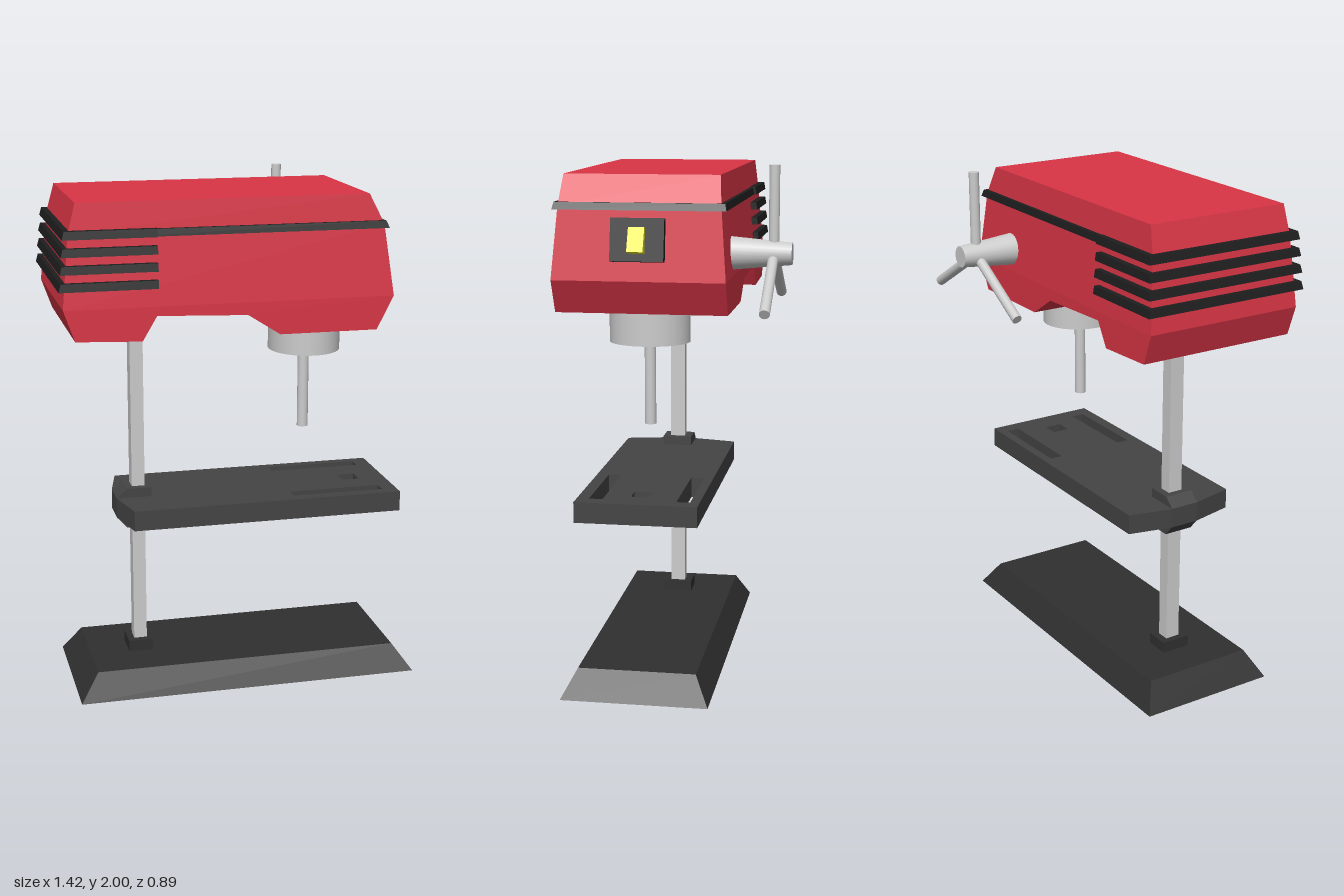
import * as THREE from 'three';

const ZC = 0.1; // depth of the machine's centre plane
const paint = (color) => new THREE.MeshStandardMaterial({ color });
const flat = (color) => new THREE.MeshStandardMaterial({ color, flatShading: true });

export function createModel() {
  const model = new THREE.Group();
  const steel = paint(0xcccccc), steelFlat = flat(0xcccccc);
  const red = flat(0xd93546), black = flat(0x1e1e1e), iron = flat(0x303030);
  const tableIron = flat(0x444444), yellow = flat(0xf0ec10);

  const add = (name, geometry, material, parent = model) => {
    const mesh = new THREE.Mesh(geometry, material);
    mesh.name = name;
    parent.add(mesh);
    return mesh;
  };

  // Box tapering between two rectangles, each { y, x0, x1, hz }
  const taper = (low, high) => {
    const g = new THREE.BoxGeometry(1, 1, 1).toNonIndexed();
    const p = g.attributes.position;
    for (let i = 0; i < p.count; i++) {
      const r = p.getY(i) < 0 ? low : high;
      p.setXYZ(i, p.getX(i) < 0 ? r.x0 : r.x1, r.y, ZC + Math.sign(p.getZ(i)) * r.hz);
    }
    g.computeVertexNormals();
    return g;
  };
  const rect = (y, x0, x1, hz) => ({ y, x0, x1, hz });

  const shapeOf = (pts) => new THREE.Shape(pts.map(([x, y]) => new THREE.Vector2(x, y)));

  // Side profile in x, y extruded evenly about the centre plane
  const slab = (pts, hz) =>
    new THREE.ExtrudeGeometry(shapeOf(pts), { depth: 2 * hz, bevelEnabled: false })
      .translate(0, 0, ZC - hz);

  // Base and column
  add('base', taper(rect(0, -0.66, 0.71, 0.284), rect(0.105, -0.585, 0.635, 0.228)), iron);
  add('baseCollar', taper(rect(0.1, -0.43, -0.33, 0.06), rect(0.15, -0.43, -0.33, 0.06)), iron);
  add('column', taper(rect(0.1, -0.404, -0.352, 0.03), rect(1.58, -0.404, -0.352, 0.03)), steelFlat);

  // Work table: plan drawn in x, -z, then laid flat
  const plan = shapeOf([
    [0.65, -0.333], [0.65, 0.135], [-0.43, 0.135], [-0.47, -0.04], [-0.47, -0.16], [-0.43, -0.333],
  ]);
  const cutouts = [
    [0.22, 0.59, -0.073, 0.026], // slots
    [0.22, 0.59, 0.26, 0.026],
    [0.47, 0.54, 0.1, 0.035], // centre hole
  ];
  for (const [x0, x1, z, h] of cutouts) {
    plan.holes.push(shapeOf([[x0, -z - h], [x0, -z + h], [x1, -z + h], [x1, -z - h]]));
  }
  const table = new THREE.ExtrudeGeometry(plan, { depth: 0.08, bevelEnabled: false });
  table.rotateX(-Math.PI / 2).translate(0, 0.685, 0);
  add('workTable', table, tableIron);
  add('tableCollar', slab([
    [-0.33, 0.64], [-0.33, 0.802], [-0.43, 0.802], [-0.47, 0.765], [-0.47, 0.685], [-0.43, 0.64],
  ], 0.06), tableIron);

  // Motor head: arched underside, tapered body and lid
  const head = new THREE.Group();
  head.name = 'head';
  model.add(head);
  const sill = rect(1.585, -0.697, 0.565, 0.326);
  const seam = rect(1.857, -0.67, 0.527, 0.304);
  add('headUnderside', slab([
    [-0.697, 1.585], [-0.655, 1.467], [-0.405, 1.457], [-0.35, 1.55], [-0.005, 1.537],
    [0.12, 1.457], [0.5, 1.457], [0.565, 1.585],
  ], 0.326), red, head);
  add('headBody', taper(sill, seam), red, head);
  add('headLid', taper(seam, rect(1.97, -0.64, 0.47, 0.293)), red, head);

  // Trim belt and the four fins wrapping the motor end
  add('trimBelt', taper(rect(1.843, -0.6, 0.542, 0.324), rect(1.87, -0.6, 0.53, 0.318)), black, head);
  for (let i = 0; i < 4; i++) {
    const y = 1.857 - i * 0.0625, left = -0.695 - i * 0.006, hz = 0.333 + i * 0.004;
    add('coolingFin', taper(
      rect(y - 0.015, left, -0.345, hz),
      rect(y + 0.015, left + 0.008, -0.345, hz - 0.005),
    ), black, head);
  }

  // Switch
  add('switchPlate', slab([[0.52, 1.81], [0.56, 1.818], [0.588, 1.662], [0.548, 1.655]], 0.1), black, head);
  add('switchRocker', slab([[0.555, 1.782], [0.582, 1.787], [0.622, 1.7], [0.572, 1.687]], 0.03), yellow, head);

  // Hollow quill sleeve with spindle hub and drill rod inside
  const quill = new THREE.Group();
  quill.name = 'quill';
  quill.position.set(0.306, 0, ZC);
  model.add(quill);
  const sleeve = [[0.11, 1.47], [0.11, 1.325], [0.11, 1.325], [0.156, 1.325], [0.156, 1.325], [0.156, 1.47]];
  // Separate lathe bands keep the rim edges sharp
  for (let i = 0; i < sleeve.length; i += 2) {
    const pts = i === 2 ? [sleeve[1], sleeve[3]] : [sleeve[i], sleeve[i + 1]];
    const band = new THREE.LatheGeometry(pts.map(([x, y]) => new THREE.Vector2(x, y)), 32);
    add('quillSleeve', band.scale(0.91, 1, 1),
      new THREE.MeshStandardMaterial({ color: 0xcccccc, side: THREE.DoubleSide }), quill);
  }
  add('spindleHub', new THREE.CylinderGeometry(0.06, 0.06, 0.1, 24), steel, quill).position.y = 1.42;
  add('drillRod', new THREE.CylinderGeometry(0.022, 0.022, 0.46, 20), steel, quill).position.y = 1.23;

  // Feed handle on the far side: tapered hub and three spokes
  const feed = new THREE.Group();
  feed.name = 'feedHandle';
  feed.position.set(0.316, 1.67, -0.375);
  model.add(feed);
  const hub = new THREE.CylinderGeometry(0.042, 0.066, 0.26, 24).rotateX(-Math.PI / 2);
  add('feedHub', hub, steel, feed).position.z = 0.06;
  [0.33, 0.37, 0.37].forEach((length, i) => {
    const spoke = new THREE.CylinderGeometry(0.02, 0.02, length, 16).translate(0, length / 2, 0);
    add('feedSpoke', spoke, steel, feed).rotation.z = (i * 2 * Math.PI) / 3;
  });

  return model;
}
